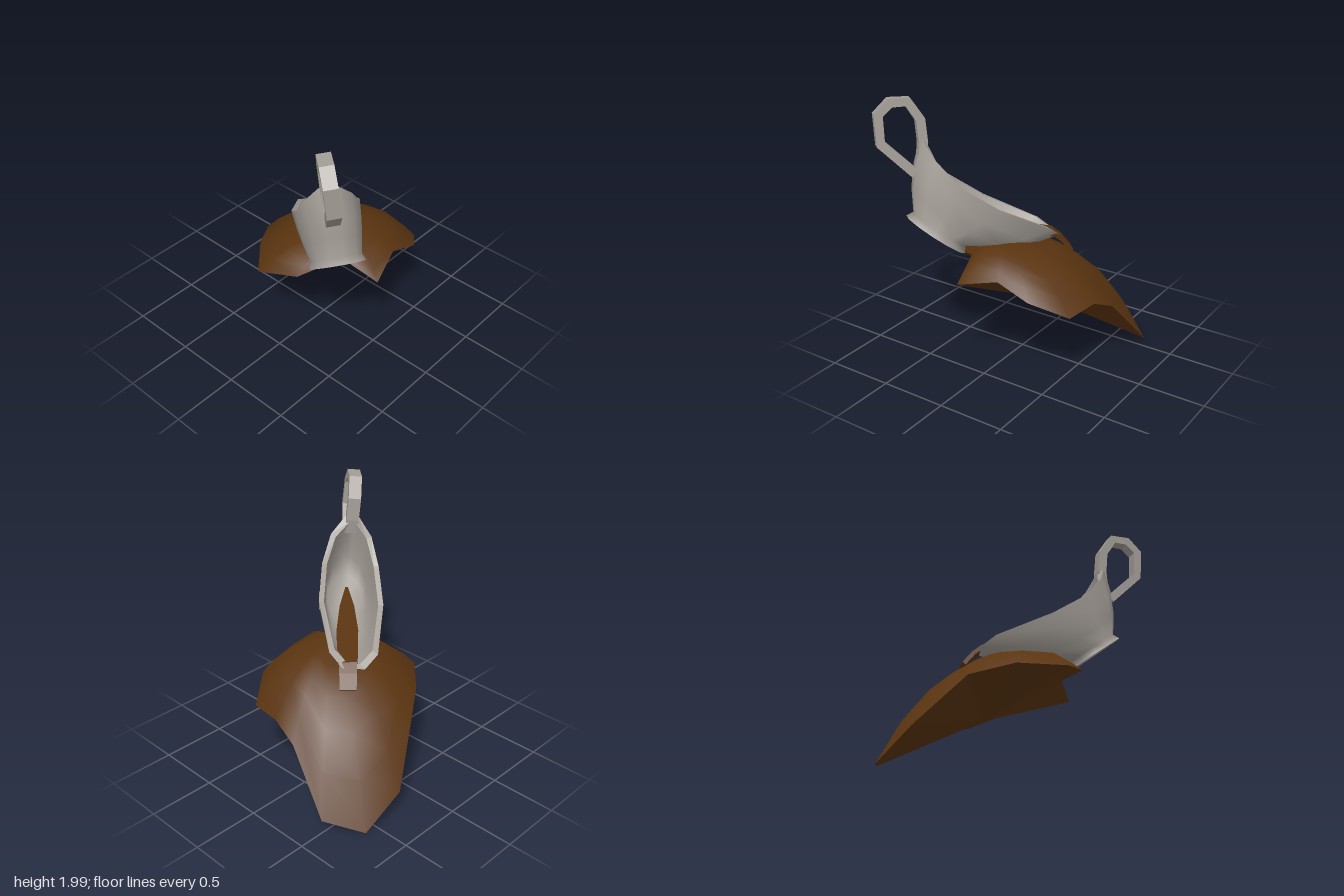
import * as THREE from 'three';
import { mergeVertices } from 'three/addons/utils/BufferGeometryUtils.js';

const V = (x, y, z) => new THREE.Vector3(x, y, z);
const collapse = (p, n) => Array.from({ length: n }, () => p.clone());

// Skin a list of closed rings that run counter-clockwise about the loft direction.
function loft(rings, smooth = true) {
  const n = rings[0].length, index = [];
  for (let i = 0; i < rings.length - 1; i++) {
    for (let j = 0; j < n; j++) {
      const k = (j + 1) % n, a = i * n + j, b = i * n + k;
      index.push(a, b, a + n, b, b + n, a + n);
    }
  }
  let g = new THREE.BufferGeometry().setFromPoints(rings.flat());
  g.setIndex(index);
  g = smooth ? mergeVertices(g, 1e-4) : g.toNonIndexed();
  g.computeVertexNormals();
  return g;
}

// Rectangular band along a path in the XY plane; each entry is [x, y, half width].
function band(path, half, z = 0) {
  const rings = path.map(([x, y, w], i) => {
    const p = path[Math.max(i - 1, 0)], q = path[Math.min(i + 1, path.length - 1)];
    const t = V(q[0] - p[0], q[1] - p[1], 0).normalize();
    const nx = -t.y * half, ny = t.x * half;
    return [[1, -1], [1, 1], [-1, 1], [-1, -1]].map(([s, c]) => V(x + s * nx, y + s * ny, z + c * w));
  });
  const first = path[0], last = path[path.length - 1];
  rings.unshift(collapse(V(first[0], first[1], z), 4));
  rings.push(collapse(V(last[0], last[1], z), 4));
  return loft(rings, false);
}

export function createModel() {
  const model = new THREE.Group();
  const silver = new THREE.MeshStandardMaterial({ color: 0xa39d96 });
  silver.name = 'silver';
  const brown = new THREE.MeshStandardMaterial({ color: 0x5a3410 });
  brown.name = 'gravy brown';
  const add = (parent, name, geometry, material) => {
    const m = new THREE.Mesh(geometry, material);
    m.name = name;
    parent.add(m);
  };

  // Sauce boat, built upright along X, then tilted to pour
  const boat = new THREE.Group();
  boat.name = 'sauceBoat';
  boat.position.set(-0.41, 0.995, 0.49);
  boat.rotation.set(-0.14, Math.PI / 4, -0.654, 'YZX');
  model.add(boat);

  // Rim half outline from spout to handle: length, height, half width
  const half = [
    [0.756, 0.486, 0.08], [0.64, 0.49, 0.175], [0.204, 0.409, 0.24],
    [-0.12, 0.394, 0.215], [-0.344, 0.448, 0.155], [-0.474, 0.512, 0.05],
  ];
  const mirrorLoop = (pts) => [
    ...pts.map(([a, b, c]) => V(a, b, -c)),
    ...pts.slice().reverse().map(([a, b, c]) => V(a, b, c)),
  ];
  const rim = mirrorLoop(half);
  const innerRim = mirrorLoop(half.map(([a, b, c], i) =>
    [a + [-0.04, -0.03, 0, 0, 0.02, 0.05][i], b - 0.005, Math.max(c - 0.038, 0.02)]));
  const foot = mirrorLoop(half.map((_, k) => {
    const t = (k + 0.5) / 6 * Math.PI;
    return [0.25 * Math.cos(t), 0, 0.198 * Math.sin(t)];
  }));
  const neck = foot.map((p) => V(p.x * 0.9, 0.05, p.z * 0.9));
  const floor = foot.map((p) => V(p.x * 0.78, 0.09, p.z * 0.72));
  // Layer between two loops; spread and rise give the bulge of the wall
  const between = (lo, hi, spread, rise) => lo.map((p, j) => {
    const q = hi[j];
    return V(THREE.MathUtils.lerp(p.x, q.x, spread), THREE.MathUtils.lerp(p.y, q.y, rise),
      THREE.MathUtils.lerp(p.z, q.z, spread));
  });
  const wall = (lo, hi) => [lo, between(lo, hi, 0.43, 0.3), between(lo, hi, 0.76, 0.63), hi];

  add(boat, 'hull', loft([foot, ...wall(neck, rim)]), silver);
  add(boat, 'rim', loft([rim, innerRim], false), silver);
  add(boat, 'bowl', loft([...wall(floor, innerRim).reverse(), collapse(V(0, 0.08, 0), 12)]), silver);
  add(boat, 'footBase', loft([collapse(V(0, 0, 0), 12), foot], false), silver);
  const handlePath = [
    [-0.38, 0.29], [-0.69, 0.33], [-0.815, 0.485], [-0.795, 0.6],
    [-0.7, 0.672], [-0.56, 0.62], [-0.455, 0.5], [-0.4, 0.41],
  ].map(([a, b]) => [a, b, 0.047]);
  add(boat, 'handle', band(handlePath, 0.032), silver);

  // Gravy running down the bowl and over the spout
  const stream = new THREE.Group();
  stream.name = 'gravyStream';
  stream.rotation.y = Math.PI / 4;
  model.add(stream);
  add(stream, 'stream', band([
    [-0.62, 1.12, 0.01], [-0.4, 1.07, 0.055], [-0.12, 1.01, 0.08],
    [0.1, 0.965, 0.075], [0.22, 0.94, 0.066], [0.28, 0.89, 0.062], [0.35, 0.8, 0.06],
  ], 0.015, 0.03), brown);

  // Domed pool of gravy with an irregular edge
  const edge = [
    [-0.54, 0.65, -0.15], [-0.28, 0.64, -0.39], [-0.02, 0.55, -0.57], [0.29, 0.2, -0.75],
    [0.6, 0, -0.72], [0.79, 0.08, -0.48], [0.7, 0.49, -0.11], [0.67, 0.59, 0.1],
    [0.63, 0.575, 0.36], [0.4, 0.7, 0.53], [0.15, 0.79, 0.53], [-0.13, 0.73, 0.62],
    [-0.2, 0.84, 0.35], [-0.48, 0.75, 0.18],
  ].map((p) => V(...p)).reverse();
  const top = V(0, 0.935, 0.22);
  const domeRing = (t) => edge.map((p) => {
    const drop = 0.65 * t ** 2 + 0.35 * t ** 4;
    return V(top.x + (p.x - top.x) * t, top.y + (p.y - top.y) * drop, top.z + (p.z - top.z) * t);
  });
  add(model, 'gravyDome', loft([1, 0.85, 0.68, 0.5, 0.3, 0].map(domeRing)), brown);
  add(model, 'gravyUnderside', loft([collapse(V(0.2, 0.43, -0.05), edge.length), edge], false), brown);

  return model;
}
